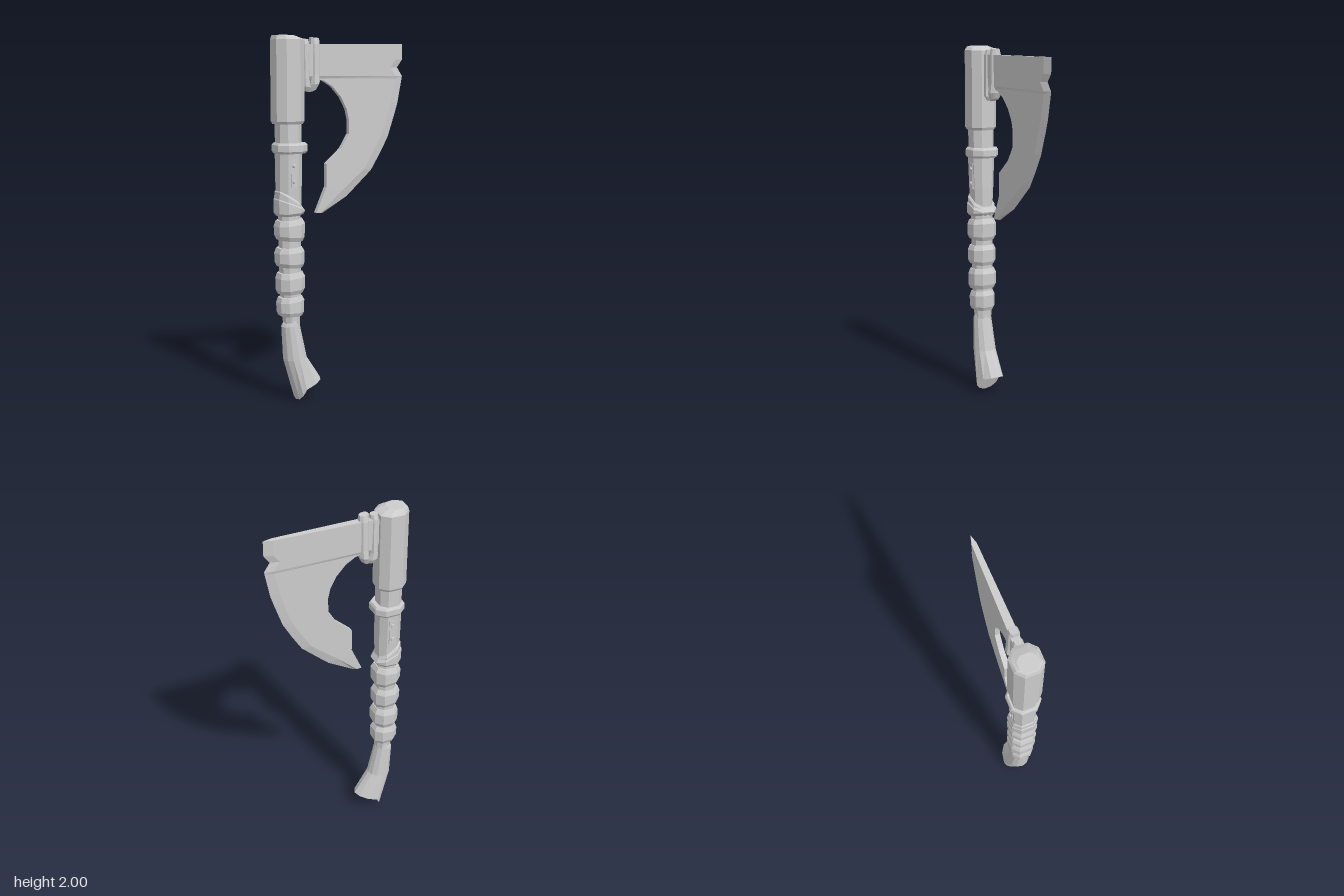
import * as THREE from 'three';

const grey = new THREE.MeshStandardMaterial({ color: 0xcccccc });
grey.name = 'plain grey';

// Faceted skin over equal-length rings of points, closed by fans at both ends
function skin(name, rings, startCentre) {
  const pos = [];
  const tri = (...pts) => pts.forEach((p) => pos.push(p.x, p.y, p.z));
  const middle = (ring) => ring.reduce((s, p) => s.add(p), new THREE.Vector3()).divideScalar(ring.length);
  const n = rings[0].length;
  const last = rings[rings.length - 1];
  const c0 = startCentre || middle(rings[0]);
  const c1 = middle(last);
  for (let i = 0; i < n; i++) {
    const k = (i + 1) % n;
    for (let j = 0; j < rings.length - 1; j++) {
      const a = rings[j], b = rings[j + 1];
      tri(a[i], b[i], a[k]);
      tri(a[k], b[i], b[k]);
    }
    tri(c0, rings[0][i], rings[0][k]);
    tri(c1, last[k], last[i]);
  }
  const geo = new THREE.BufferGeometry();
  geo.setAttribute('position', new THREE.Float32BufferAttribute(pos, 3));
  geo.computeVertexNormals();
  const mesh = new THREE.Mesh(geo, grey);
  mesh.name = name;
  return mesh;
}

// Cross-sections in unit size: chamfered octagon and twelve-sided round
const OCTAGON = [[1, -0.5], [1, 0.5], [0.48, 1], [-0.48, 1], [-1, 0.5], [-1, -0.5], [-0.48, -1], [0.48, -1]];
const ROUND = Array.from({ length: 12 }, (_, i) => [Math.cos(i * Math.PI / 6), Math.sin(i * Math.PI / 6)]);

// Ring: centre x, y, half width, half depth, slope of y along x
const ring = (shape, [cx, y, hx, hz, slope = 0]) =>
  shape.map(([u, w]) => new THREE.Vector3(cx + u * hx, y + slope * u * hx, w * hz));
const loft = (name, shape, rows) => skin(name, rows.map((r) => ring(shape, r)));

function createModel() {
  const model = new THREE.Group();
  model.name = 'axe';

  // Head socket, neck, collar and upper shaft
  model.add(loft('headSocket', OCTAGON, [
    [-0.315, 1.53, 0.074, 0.07], [-0.315, 1.545, 0.081, 0.079],
    [-0.315, 1.975, 0.081, 0.079], [-0.32, 1.99, 0.07, 0.066, -0.1], [-0.335, 1.998, 0.045, 0.05]]));
  model.add(loft('neck', OCTAGON, [[-0.312, 1.4, 0.064, 0.066], [-0.312, 1.535, 0.064, 0.066]]));
  model.add(loft('collar', OCTAGON, [
    [-0.304, 1.373, 0.079, 0.075], [-0.304, 1.385, 0.087, 0.083],
    [-0.304, 1.418, 0.087, 0.083], [-0.304, 1.43, 0.079, 0.075]]));
  model.add(loft('upperShaft', OCTAGON, [
    [-0.312, 1.04, 0.06, 0.055], [-0.312, 1.2, 0.064, 0.062], [-0.312, 1.385, 0.065, 0.069]]));

  // Rivet plates on both sides
  for (const side of [1, -1]) {
    const plate = new THREE.Mesh(new THREE.BoxGeometry(0.034, 0.15, 0.008), grey);
    plate.name = 'rivetPlate';
    plate.position.set(-0.308, 1.27, side * 0.065);
    model.add(plate);
    for (const y of [1.31, 1.225]) {
      const rivet = new THREE.Mesh(new THREE.CylinderGeometry(0.009, 0.013, 0.012, 8).toNonIndexed(), grey);
      rivet.geometry.computeVertexNormals();
      rivet.name = 'rivet';
      rivet.rotation.x = side * Math.PI / 2;
      rivet.position.set(-0.31, y, side * 0.071);
      model.add(rivet);
    }
  }

  // Grip core and bulging wraps
  model.add(loft('gripCore', OCTAGON, [
    [-0.3, 0.43, 0.04, 0.045], [-0.305, 0.6, 0.052, 0.053], [-0.31, 1.1, 0.056, 0.056]]));
  const wraps = [ // bottom y, top y, centre x, half width, half depth, bottom slope, top slope
    [0.483, 0.592, -0.307, 0.07, 0.065, -0.03, 0.1],
    [0.608, 0.726, -0.306, 0.073, 0.073, 0.06, 0.07],
    [0.754, 0.864, -0.31, 0.074, 0.073, -0.07, 0.06],
    [0.9, 1.016, -0.309, 0.076, 0.075, -0.08, 0.1],
    [1.038, 1.112, -0.309, 0.077, 0.075, 0.05, -0.4],
  ];
  for (const [b, t, cx, hx, hz, sb, st] of wraps) {
    const h = t - b;
    model.add(loft('gripWrap', OCTAGON, [
      [cx, b, hx * 0.84, hz * 0.85, sb], [cx, b + h * 0.2, hx * 0.97, hz, sb],
      [cx, b + h * 0.75, hx, hz, st], [cx - 0.003, t, hx * 0.84, hz * 0.85, st]]));
  }
  model.add(loft('crossedStrap', OCTAGON, [
    [-0.312, 1.085, 0.07, 0.071, -0.6], [-0.312, 1.122, 0.068, 0.07, -0.65], [-0.312, 1.135, 0.06, 0.06, -0.65]]));

  // Bent lower handle with a notched, flared end
  const flare = ring(ROUND, [-0.201, 0.055, 0.074, 0.077, 0.743]);
  ROUND.forEach(([u], i) => {
    flare[i].x -= 0.043 * (1 - Math.abs(u));
    flare[i].y += 0.015 * (1 - Math.abs(u));
  });
  model.add(skin('lowerHandle', [flare,
    ring(ROUND, [-0.281, 0.24, 0.066, 0.064, 0.1]),
    ring(ROUND, [-0.307, 0.43, 0.05, 0.053, 0.15]),
    ring(ROUND, [-0.304, 0.46, 0.044, 0.047, 0.5])], new THREE.Vector3(-0.244, 0.07, 0)));

  // Bearded blade: back edge x, y, cutting edge x, y, thickness factor
  const sections = [
    [-0.24, 1.952, 0.392, 1.952, 1], [-0.24, 1.867, 0.392, 1.867, 1],
    [-0.24, 1.825, 0.36, 1.825, 1], [-0.22, 1.782, 0.392, 1.777, 1],
    [-0.16, 1.768, 0.39, 1.762, 0.75], [-0.106, 1.756, 0.387, 1.745, 0.75],
    [-0.053, 1.724, 0.38, 1.71, 0.75], [0, 1.666, 0.365, 1.63, 0.75],
    [0.035, 1.6, 0.345, 1.565, 0.75], [0.048, 1.545, 0.333, 1.53, 0.75],
    [0.048, 1.465, 0.302, 1.438, 0.75], [0, 1.385, 0.25, 1.345, 0.75],
    [-0.09, 1.306, 0.196, 1.258, 0.75], [-0.09, 1.18, 0.042, 1.12, 0.75],
    [-0.153, 1.04, -0.106, 1.036, 0.6]];
  model.add(skin('blade', sections.map(([ix, iy, ox, oy, k]) => {
    const f = 1 - Math.min(0.4, 0.05 / (ox - ix));
    const bx = ix + (ox - ix) * f, by = iy + (oy - iy) * f;
    const half = (x) => k * (0.022 - 0.018 * (x + 0.13));
    return [
      new THREE.Vector3(ix, iy, half(ix)), new THREE.Vector3(bx, by, half(bx)),
      new THREE.Vector3(ox, oy, 0),
      new THREE.Vector3(bx, by, -half(bx)), new THREE.Vector3(ix, iy, -half(ix))];
  })));

  // Two bindings holding the blade to the socket
  model.add(loft('innerBinding', OCTAGON, [
    [-0.205, 1.7, 0.02, 0.02, -0.2], [-0.208, 1.725, 0.026, 0.034, -0.2],
    [-0.212, 1.76, 0.021, 0.033], [-0.214, 1.95, 0.021, 0.028], [-0.212, 1.978, 0.019, 0.02, -0.1]]));
  model.add(loft('outerBinding', OCTAGON, [
    [-0.165, 1.705, 0.018, 0.022, 0.4], [-0.158, 1.74, 0.026, 0.038, 0.2],
    [-0.155, 1.79, 0.025, 0.033], [-0.155, 1.95, 0.026, 0.03], [-0.156, 1.985, 0.024, 0.022, -0.1]]));

  return model;
}

export { createModel };
